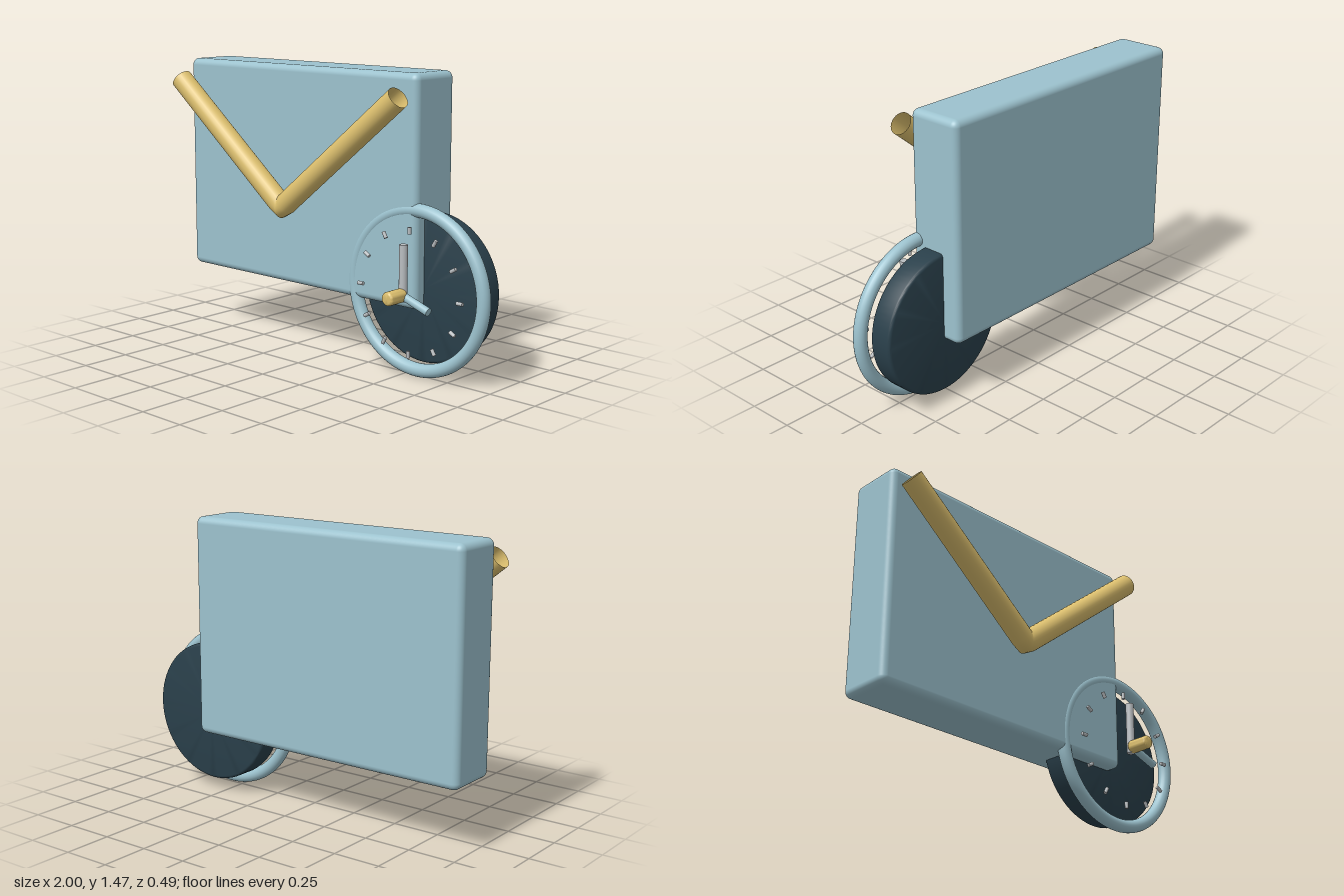
import * as THREE from 'three';
import { RoundedBoxGeometry } from 'three/addons/geometries/RoundedBoxGeometry.js';
import { toCreasedNormals } from 'three/addons/utils/BufferGeometryUtils.js';

const material = (name, color, side = THREE.FrontSide) => {
  const m = new THREE.MeshStandardMaterial({ color, side });
  m.name = name;
  return m;
};

// Solid disc along z with rounded rims, centred on the origin
function roundedDisc(radius, depth, bevel, segments) {
  const h = depth / 2;
  const points = [new THREE.Vector2(0, -h)];
  for (const end of [-1, 1]) {
    for (let i = 0; i <= 4; i++) {
      const a = (end < 0 ? i - 4 : i) * Math.PI / 8;
      points.push(new THREE.Vector2(
        radius - bevel + Math.cos(a) * bevel,
        end * (h - bevel) + Math.sin(a) * bevel));
    }
  }
  points.push(new THREE.Vector2(0, h));
  const disc = new THREE.LatheGeometry(points, segments).rotateX(Math.PI / 2);
  return toCreasedNormals(disc, 0.6);
}

export function createModel() {
  const model = new THREE.Group();
  model.name = 'envelopeWithClock';

  const blue = material('pale blue', 0x9cc2ce);
  const navy = material('dark slate', 0x2a404b);
  const gold = material('gold', 0xdcbf6e, THREE.DoubleSide);
  const silver = material('silver grey', 0xbabec1);

  const add = (parent, name, geometry, mat, x = 0, y = 0, z = 0) => {
    const mesh = new THREE.Mesh(geometry, mat);
    mesh.name = name;
    mesh.position.set(x, y, z);
    parent.add(mesh);
    return mesh;
  };

  // Envelope body
  add(model, 'envelopeBody', new RoundedBoxGeometry(1.58, 1.137, 0.292, 5, 0.035),
    blue, -0.21, 0.902, -0.1);

  // V-shaped flap: an open tube with one sharp bend
  const left = new THREE.Vector3(-0.963, 1.364, 0.143);
  const tip = new THREE.Vector3(-0.208, 0.757, 0.143);
  const right = new THREE.Vector3(0.547, 1.364, 0.143);
  const flapPath = new THREE.CurvePath();
  flapPath.add(new THREE.LineCurve3(left, tip));
  flapPath.add(new THREE.LineCurve3(tip, right));
  add(model, 'envelopeFlap', new THREE.TubeGeometry(flapPath, 64, 0.057, 24), gold);

  // Clock
  const clock = new THREE.Group();
  clock.name = 'clock';
  clock.position.set(0.573, 0.427, 0);
  model.add(clock);

  add(clock, 'clockFace', roundedDisc(0.367, 0.126, 0.016, 72), navy, 0, 0, -0.088);
  add(clock, 'clockRim', new THREE.TorusGeometry(0.393, 0.034, 20, 96), blue, 0, 0, 0.017);

  // Hour marks
  for (let i = 0; i < 12; i++) {
    const a = i * Math.PI / 6;
    const mark = add(clock, 'hourMark', new THREE.CylinderGeometry(0.0095, 0.0095, 0.034, 12),
      silver, Math.sin(a) * 0.304, Math.cos(a) * 0.304, 0.082);
    mark.rotation.z = -a;
  }

  // Hands
  add(clock, 'minuteHand', new THREE.CylinderGeometry(0.021, 0.021, 0.276, 20),
    silver, 0, 0.106, 0.124);
  const hourHand = add(clock, 'hourHand', new THREE.CylinderGeometry(0.0205, 0.0205, 0.175, 20),
    blue, 0.08, -0.027, 0.134);
  hourHand.rotation.z = -1.9;

  // Centre knob
  add(clock, 'centreKnob', roundedDisc(0.034, 0.119, 0.012, 28), gold, 0, 0, 0.187);

  return model;
}
